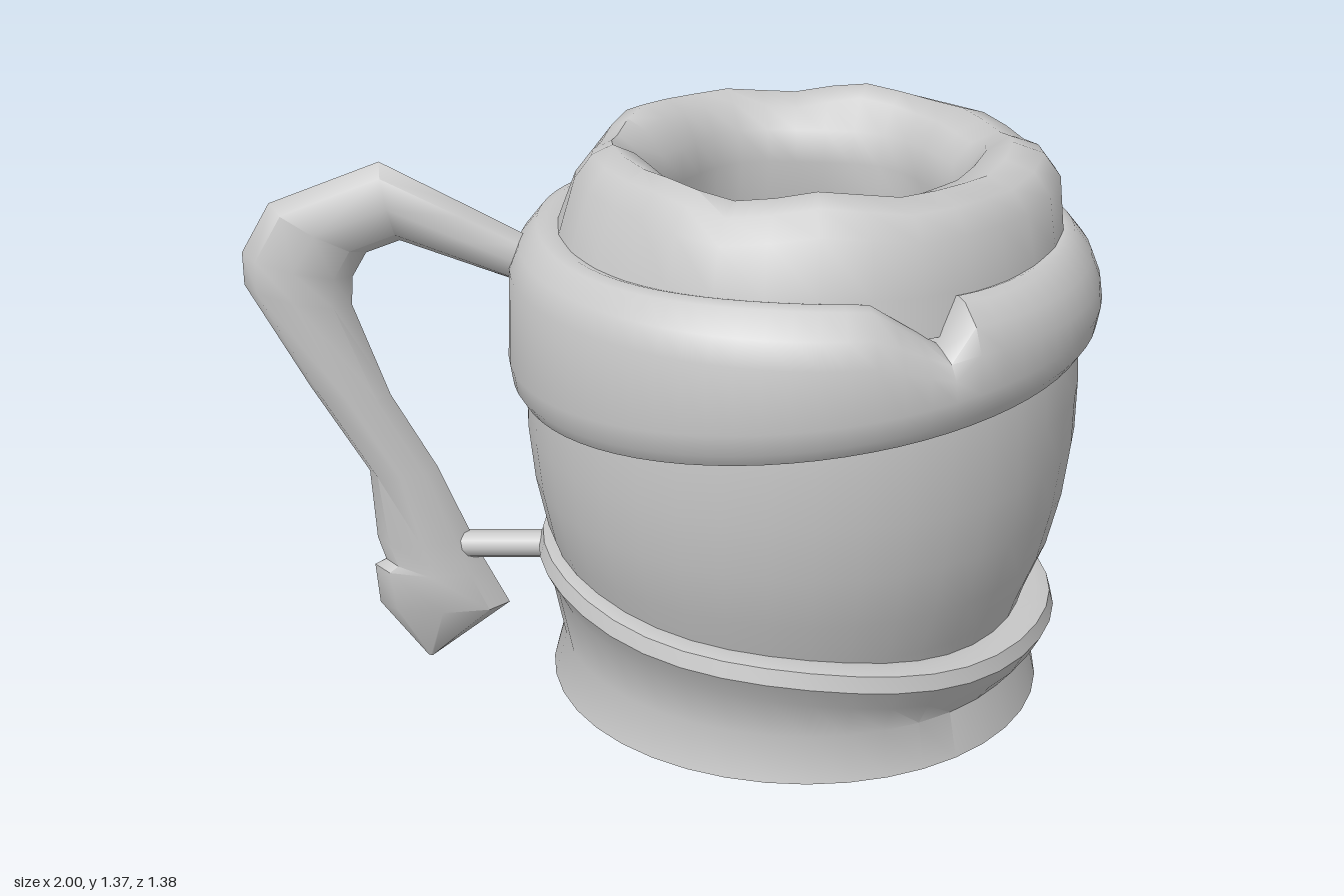
import * as THREE from 'three';
import { toCreasedNormals } from 'three/addons/utils/BufferGeometryUtils.js';

const clay = new THREE.MeshStandardMaterial({ color: 0xc8c8c8 });
clay.name = 'clay grey';

// Skins a list of closed loops, each an array of [x, y, z]
function loft(name, rows, crease) {
  const n = rows[0].length, index = [];
  for (let i = 0; i < rows.length - 1; i++) {
    for (let j = 0; j < n; j++) {
      const k = (j + 1) % n;
      const a = i * n + j, b = i * n + k, c = a + n, d = b + n;
      index.push(a, c, d, a, d, b);
    }
  }
  const geo = new THREE.BufferGeometry();
  geo.setAttribute('position', new THREE.Float32BufferAttribute(rows.flat(2), 3));
  geo.setIndex(index);
  geo.computeVertexNormals();
  const mesh = new THREE.Mesh(crease ? toCreasedNormals(geo, crease) : geo, clay);
  mesh.name = name;
  return mesh;
}

// Turned shape whose [radius, height] profile may change with the angle
function turned(name, segments, profile, crease) {
  const rows = [];
  for (let j = 0; j < segments; j++) {
    const t = (j / segments) * Math.PI * 2;
    profile(t).forEach(([r, y], i) => {
      (rows[i] ??= []).push([r * Math.cos(t), y, r * Math.sin(t)]);
    });
  }
  return loft(name, rows, crease);
}

export function createModel() {
  const model = new THREE.Group();
  model.name = 'mug';
  const cup = new THREE.Group();
  cup.name = 'cup';
  cup.position.x = 0.31;
  model.add(cup);

  // Foot with a recessed underside and a slanted upper lip
  cup.add(turned('foot', 40, (t) => {
    const top = 0.315 - 0.065 * Math.cos(t) + 0.006 * Math.sin(5 * t);
    return [[0.001, 0.1], [0.37, 0.1], [0.43, 0.07], [0.5, 0.02], [0.56, 0], [0.6, 0.012],
      [0.572, 0.12], [0.605, top - 0.1], [0.633, top - 0.045], [0.622, top - 0.008],
      [0.59, top], [0.54, top - 0.01]];
  }, 0.75));

  // Bulging barrel
  cup.add(turned('barrel', 40, () => [[0.53, 0.18], [0.565, 0.3], [0.61, 0.42], [0.638, 0.55],
    [0.652, 0.68], [0.652, 0.8], [0.645, 0.9], [0.62, 1.05]]));

  // Upper band: slanted lower edge, torn notch in the top edge at the front
  cup.add(turned('upperBand', 72, (t) => {
    const low = 0.86 + 0.085 * Math.cos(t);
    let dip = 0;
    if (t > 1.1 && t < 1.4) dip = 0.1 * (1.4 - t) / 0.27;
    const wave = 0.006 * Math.sin(4 * t + 1);
    const top = 1.17 + wave - dip;
    return [[0.62, low + 0.02], [0.665, low - 0.01], [0.684, low + 0.02], [0.692, low + 0.07],
      [0.685, 1.06 - dip * 0.5], [0.662, 1.115 - dip * 0.75], [0.62, top - 0.008],
      [0.595, top], [0.54, top - 0.02]];
  }, 0.8));

  // Lumpy rim rolling over into the hollow and down to the floor
  cup.add(turned('rimAndInside', 32, (t) => {
    const lump = 0.01 * Math.sin(5 * t + 0.6) + 0.007 * Math.sin(9 * t);
    const out = 0.022 * Math.cos(t) + 0.008 * Math.sin(7 * t);
    const hole = 0.012 * Math.sin(6 * t + 1);
    return [[0.6, 1.08], [0.58 + out * 0.5, 1.17], [0.55 + out, 1.285 + lump],
      [0.51 + out, 1.337 + lump], [0.455 + out * 0.5, 1.358 + lump],
      [0.4 + hole, 1.335 + lump], [0.358 + hole, 1.275], [0.342 + hole, 1.2],
      [0.36, 1.1], [0.37, 0.7], [0.37, 0.3], [0.001, 0.3]];
  }, 0.9));

  // Handle: outer x, outer y, inner x, inner y, half thickness
  const sections = [
    [-0.33, 1.12, -0.33, 1.0, 0.055], [-0.48, 1.2, -0.48, 1.055, 0.058],
    [-0.67, 1.3, -0.63, 1.11, 0.064], [-0.93, 1.2, -0.71, 1.08, 0.066],
    [-1.0, 1.08, -0.745, 1.02, 0.066], [-1.0, 1.0, -0.75, 0.95, 0.066],
    [-0.86, 0.74, -0.67, 0.72, 0.062], [-0.73, 0.52, -0.565, 0.53, 0.064],
    [-0.72, 0.34, -0.49, 0.35, 0.066], [-0.702, 0.28, -0.465, 0.29, 0.066],
    [-0.73, 0.265, -0.45, 0.26, 0.068], [-0.722, 0.16, -0.4, 0.16, 0.062],
    [-0.61, 0.012, -0.595, 0.01, 0.006], [-0.602, 0.01, -0.601, 0.01, 0.001],
  ];
  const sides = 8;
  model.add(loft('handle', sections.map(([ox, oy, ix, iy, h]) =>
    Array.from({ length: sides }, (_, j) => {
      const a = (j / sides) * Math.PI * 2, c = Math.cos(a);
      return [(ox + ix) / 2 + (ox - ix) / 2 * c, (oy + iy) / 2 + (oy - iy) / 2 * c,
        h * Math.sin(a) - 0.006];
    })), 0.85));

  // Short peg joining the handle to the foot
  const peg = new THREE.Mesh(new THREE.CylinderGeometry(0.035, 0.035, 0.28, 10), clay);
  peg.name = 'handlePeg';
  peg.rotation.z = Math.PI / 2;
  peg.position.set(-0.4, 0.325, 0);
  model.add(peg);

  return model;
}
